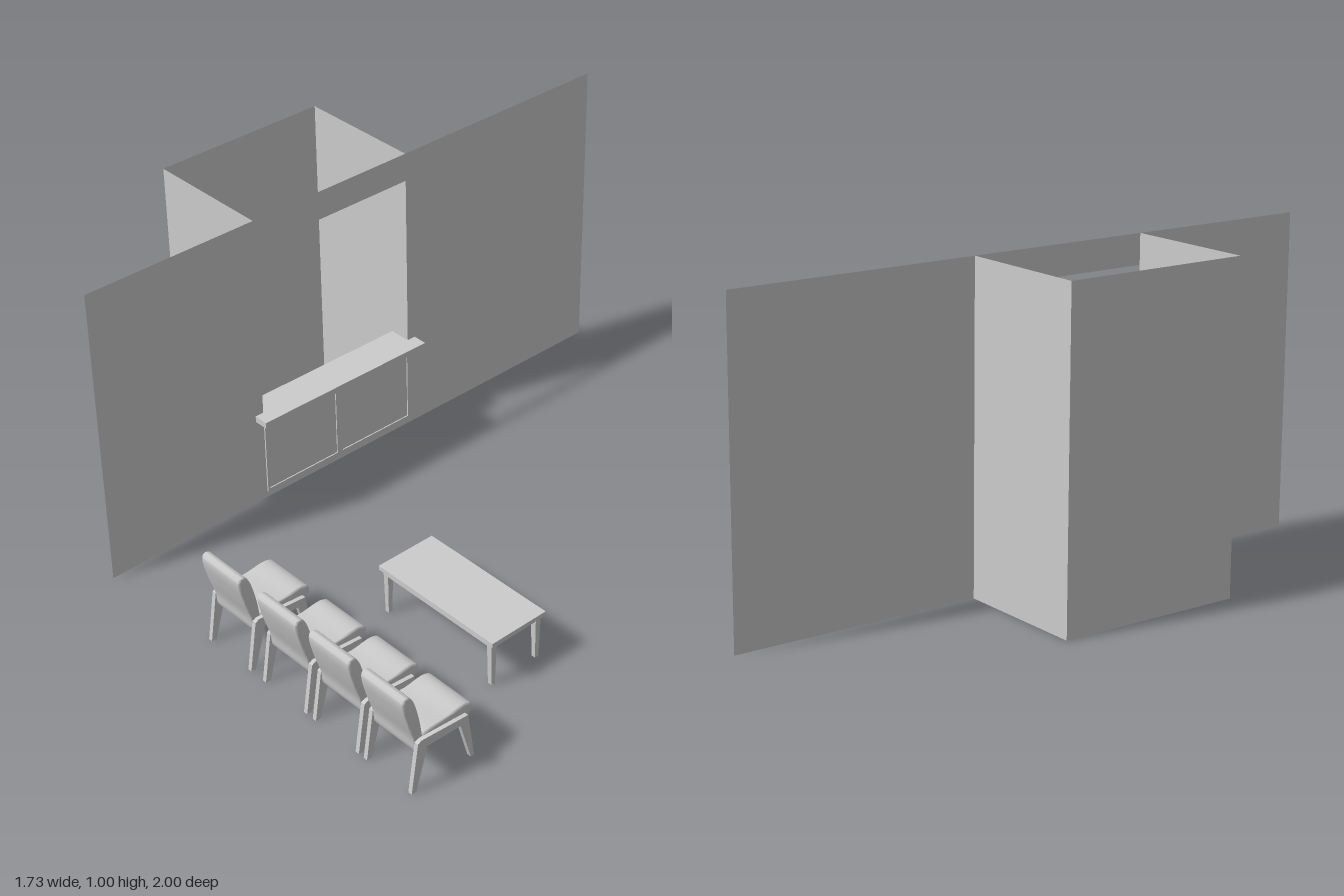
import * as THREE from 'three';
import { toCreasedNormals } from 'three/addons/utils/BufferGeometryUtils.js';

const grey = new THREE.MeshStandardMaterial({ color: 0xcccccc });
const sheet = new THREE.MeshStandardMaterial({ color: 0xcccccc, side: THREE.DoubleSide });

function add(parent, name, geometry, material = grey) {
  const mesh = new THREE.Mesh(geometry, material);
  mesh.name = name;
  parent.add(mesh);
  return mesh;
}

// Box given by its limits on each axis
function box(parent, name, [x0, x1], [y0, y1], [z0, z1]) {
  const mesh = add(parent, name, new THREE.BoxGeometry(x1 - x0, y1 - y0, z1 - z0));
  mesh.position.set((x0 + x1) / 2, (y0 + y1) / 2, (z0 + z1) / 2);
  return mesh;
}

// Side profile of [z, y] points, extruded along x and centred on x = 0
function sideExtrude(points, width, bevel = 0, smooth = false) {
  const pts = points.map(([z, y]) => new THREE.Vector2(-z, y));
  const shape = smooth
    ? new THREE.Shape(new THREE.CatmullRomCurve3(
      pts.map((p) => new THREE.Vector3(p.x, p.y, 0)), true).getPoints(36)
      .slice(0, -1).map((p) => new THREE.Vector2(p.x, p.y)))
    : new THREE.Shape(pts);
  const depth = width - 2 * bevel;
  const geometry = new THREE.ExtrudeGeometry(shape, {
    depth, bevelEnabled: bevel > 0, bevelThickness: bevel,
    bevelSize: bevel, bevelOffset: -bevel, bevelSegments: 3,
  });
  geometry.translate(0, 0, -depth / 2).rotateY(Math.PI / 2);
  return toCreasedNormals(geometry, 0.7);
}

// Chair facing -z, centred on x = 0
function createChair() {
  const chair = new THREE.Group();
  chair.name = 'chair';
  add(chair, 'seatCushion', sideExtrude([
    [0.925, 0.135], [0.93, 0.165], [0.9, 0.178], [0.82, 0.182], [0.755, 0.188],
    [0.728, 0.175], [0.727, 0.155], [0.745, 0.142], [0.83, 0.135],
  ], 0.17, 0.006, true));
  add(chair, 'backCushion', sideExtrude([
    [0.932, 0.125], [0.94, 0.17], [0.962, 0.24], [0.978, 0.315], [0.972, 0.33],
    [0.955, 0.33], [0.94, 0.31], [0.922, 0.25], [0.91, 0.18], [0.908, 0.135],
  ], 0.17, 0.006, true));

  // Side frames: splayed tapering legs joined by a rail
  const frame = sideExtrude([
    [0.963, 0], [0.938, 0.165], [0.925, 0.172], [0.755, 0.158], [0.732, 0],
    [0.745, 0], [0.783, 0.135], [0.905, 0.14], [0.945, 0],
  ], 0.014);
  for (const side of [-1, 1]) {
    add(chair, 'sideFrame', frame).position.x = side * 0.091;
  }
  box(chair, 'seatRail', [-0.086, 0.086], [0.125, 0.142], [0.775, 0.79]);
  box(chair, 'seatRail', [-0.086, 0.086], [0.125, 0.142], [0.895, 0.915]);
  return chair;
}

function createTable() {
  const table = new THREE.Group();
  table.name = 'table';
  box(table, 'tableTop', [-0.24, 0.24], [0.153, 0.167], [-0.105, 0.105]);
  for (const s of [-1, 1]) {
    box(table, 'longApron', [-0.222, 0.222], [0.137, 0.153], [s * 0.09 - 0.006, s * 0.09 + 0.006]);
    box(table, 'shortApron', [s * 0.222 - 0.006, s * 0.222 + 0.006], [0.137, 0.153], [-0.09, 0.09]);
    for (const t of [-1, 1]) {
      // Square legs, slimmer at the foot
      const leg = new THREE.CylinderGeometry(0.014, 0.01, 0.153, 4, 1).rotateY(Math.PI / 4);
      add(table, 'tableLeg', toCreasedNormals(leg, 0.5)).position.set(s * 0.219, 0.0765, t * 0.087);
    }
  }
  return table;
}

export function createModel() {
  const model = new THREE.Group();
  model.name = 'waitingArea';
  const wallX = -0.44, backX = -0.87, z0 = -0.2, z1 = 0.4;

  // Long wall with the serving opening
  const wall = new THREE.Shape([[-1, 0], [1, 0], [1, 1.005], [-1, 1.005]]
    .map((p) => new THREE.Vector2(...p)));
  wall.holes.push(new THREE.Path([[-z1, 0.03], [-z1, 0.91], [-z0, 0.91], [-z0, 0.03]]
    .map((p) => new THREE.Vector2(...p))));
  add(model, 'wall', new THREE.ShapeGeometry(wall).rotateY(Math.PI / 2), sheet).position.x = wallX;

  // Alcove behind the opening, without floor or ceiling
  const back = add(model, 'alcoveBack', new THREE.PlaneGeometry(z1 - z0, 1.005), sheet);
  back.position.set(backX, 0.5025, (z0 + z1) / 2);
  back.rotation.y = Math.PI / 2;
  for (const z of [z0, z1]) {
    add(model, 'alcoveSide', new THREE.PlaneGeometry(wallX - backX, 1.005), sheet)
      .position.set((wallX + backX) / 2, 0.5025, z);
  }

  // Counter: narrow part inside the opening, wider lip outside
  const counter = new THREE.Group();
  counter.name = 'counter';
  model.add(counter);
  box(counter, 'counterInside', [-0.515, wallX], [0.302, 0.323], [z0, z1]);
  box(counter, 'counterLip', [wallX, -0.39], [0.302, 0.323], [-0.23, 0.43]);
  box(counter, 'counterPanel', [-0.445, -0.439], [0.03, 0.302], [z0, z1]);
  for (const [a, b] of [[z0, z0 + 0.008], [0.09, 0.112], [z1 - 0.008, z1]]) {
    box(counter, 'panelPost', [-0.444, -0.435], [0.03, 0.302], [a, b]);
  }
  box(counter, 'panelSill', [-0.444, -0.435], [0.022, 0.032], [z0, z1]);

  const table = createTable();
  table.position.set(0.46, 0, 0.407);
  model.add(table);

  for (const x of [0.077, 0.325, 0.545, 0.761]) {
    const chair = createChair();
    chair.position.x = x;
    model.add(chair);
  }
  return model;
}
